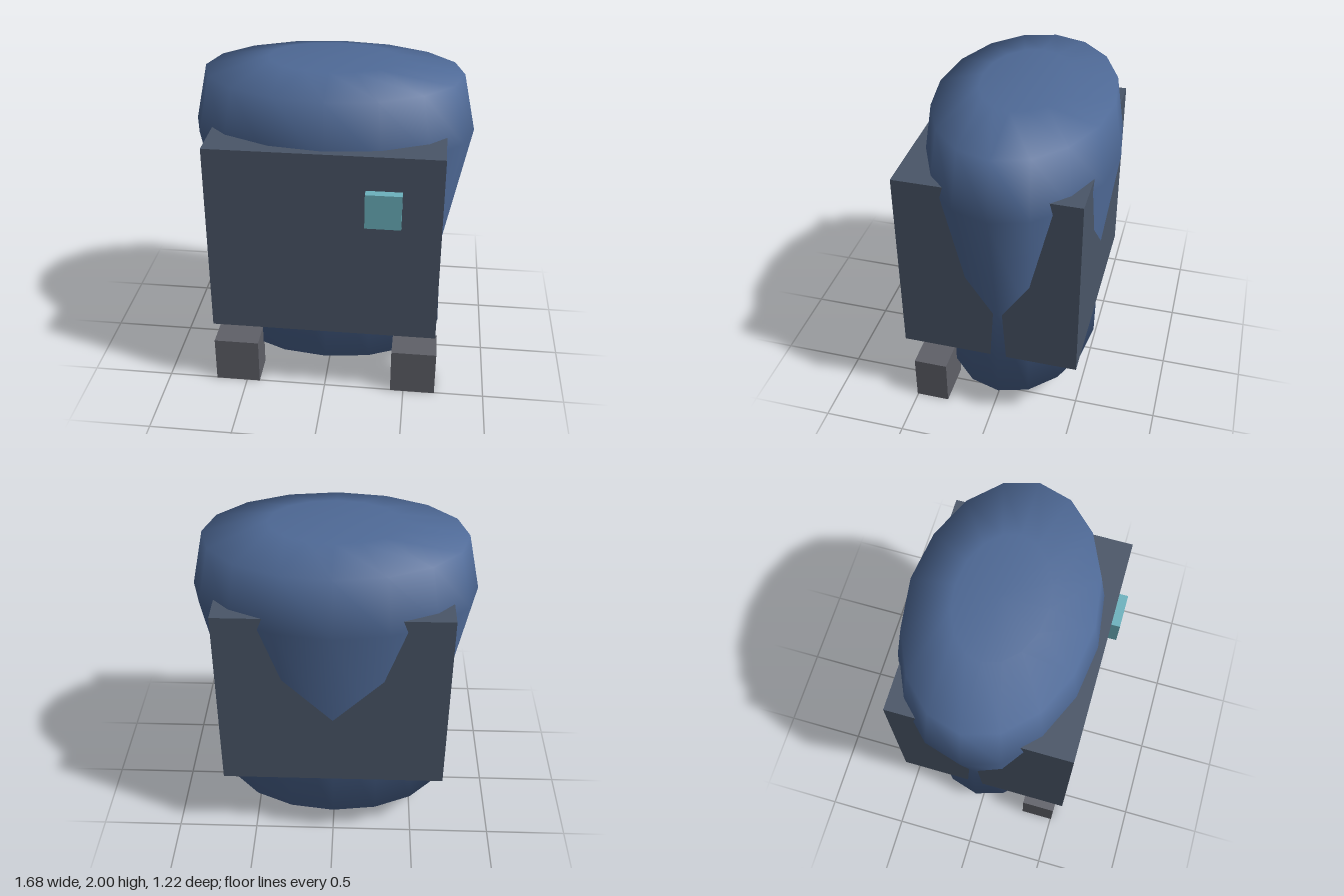
import * as THREE from 'three';

const paint = (name, color) => {
  const m = new THREE.MeshStandardMaterial({ color });
  m.name = name;
  return m;
};

export function createModel() {
  const model = new THREE.Group();
  model.name = 'model';
  const blue = paint('blue', 0x4f6a97);
  const slate = paint('slate', 0x4a5668);
  const grey = paint('grey', 0x5f6068);
  const cyan = paint('cyan', 0x6cb2be);

  // Box given by its lower and upper corners
  const addBox = (name, material, lo, hi) => {
    const mesh = new THREE.Mesh(new THREE.BoxGeometry(...hi.map((h, i) => h - lo[i])), material);
    mesh.position.set(...hi.map((h, i) => (h + lo[i]) / 2));
    mesh.name = name;
    model.add(mesh);
  };

  // Oval body, widest at the shoulders, tapering to a shallow point below
  const profile = [
    [0, 0.085], [0.70, 0.18], [0.688, 0.80], [0.842, 1.58],
    [0.767, 1.925], [0.385, 2], [0, 2],
  ].map(([r, y]) => new THREE.Vector2(r, y));
  const body = new THREE.Mesh(new THREE.LatheGeometry(profile, 16, Math.PI / 2), blue);
  body.scale.z = 0.676;
  body.position.z = -0.04;
  body.name = 'body';
  model.add(body);

  // Square casing around the middle, with a badge on its front
  addBox('casing', slate, [-0.68, 0.465, -0.523], [0.68, 1.652, 0.557]);
  addBox('badge', cyan, [0.243, 1.232, 0.55], [0.45, 1.444, 0.61]);

  // Feet
  addBox('leftFoot', grey, [0.418, 0, 0.298], [0.695, 0.295, 0.505]);
  addBox('rightFoot', grey, [-0.695, 0, 0.298], [-0.418, 0.295, 0.505]);

  return model;
}
